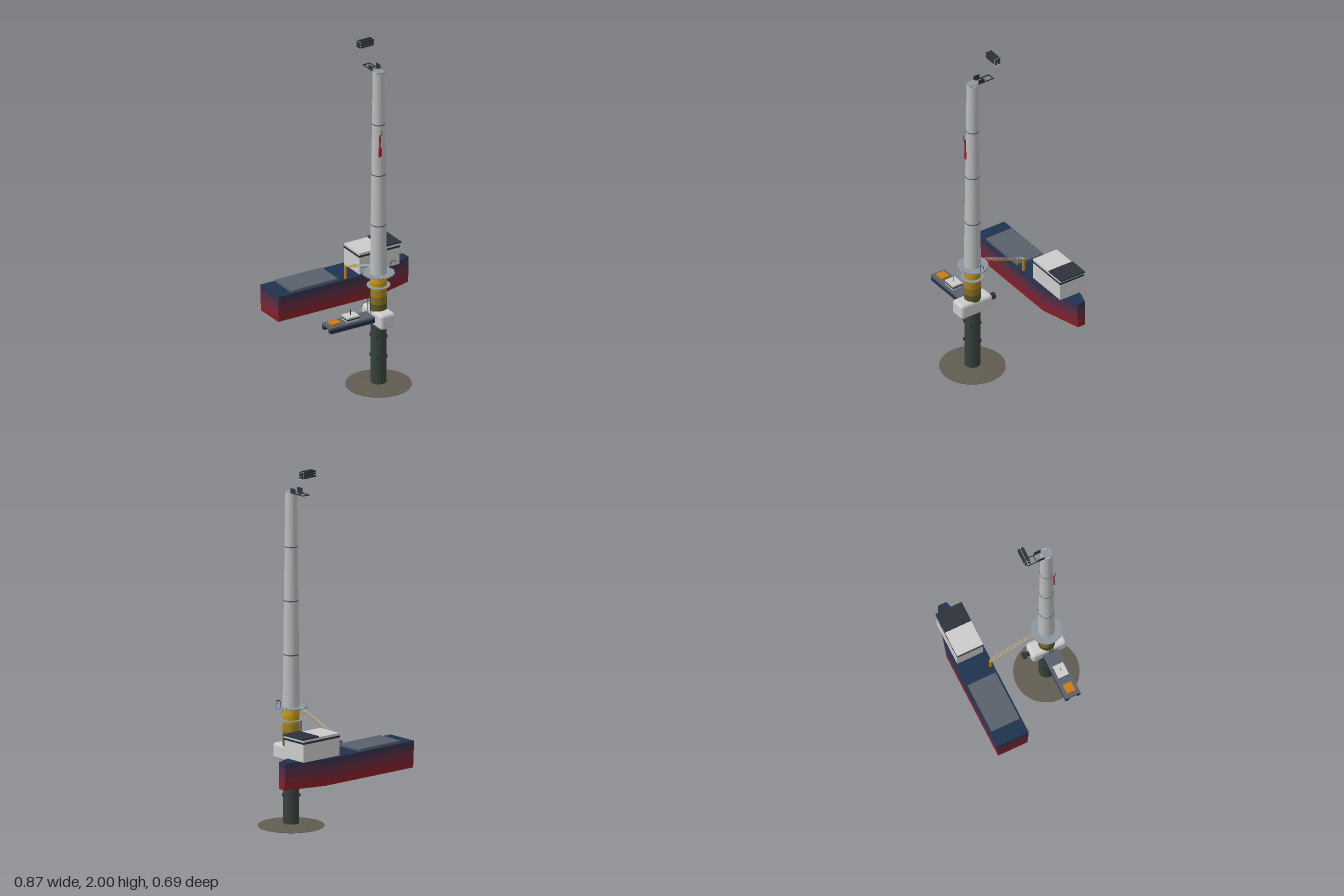
import * as THREE from 'three';
import { RoundedBoxGeometry } from 'three/addons/geometries/RoundedBoxGeometry.js';

const TOWER_Z = 0.164;
const mat = (color, side = THREE.FrontSide) => new THREE.MeshStandardMaterial({ color, side });
const NAVY = mat(0x1f334f), STEEL = mat(0x5a616b), DARK = mat(0x2c323b), WHITE = mat(0xcccccc);
const ORANGE = mat(0xc77c14), GREY = mat(0xb9bcbd), DECK = mat(0x8d969f), RED = mat(0xc01e28);

function add(parent, name, geometry, material, x = 0, y = 0, z = 0) {
  const m = new THREE.Mesh(geometry, material);
  m.name = name;
  m.position.set(x, y, z);
  parent.add(m);
  return m;
}
// Box given by its limits on each axis
function box(parent, name, material, [x0, x1], [y0, y1], [z0, z1]) {
  return add(parent, name, new THREE.BoxGeometry(x1 - x0, y1 - y0, z1 - z0), material,
    (x0 + x1) / 2, (y0 + y1) / 2, (z0 + z1) / 2);
}
// Round bar between two points
function rod(parent, name, material, a, b, r = 0.002) {
  const p = new THREE.Vector3(...a), q = new THREE.Vector3(...b), d = q.clone().sub(p);
  const m = add(parent, name, new THREE.CylinderGeometry(r, r, d.length(), 8), material);
  m.position.copy(p).add(q).multiplyScalar(0.5);
  m.quaternion.setFromUnitVectors(new THREE.Vector3(0, 1, 0), d.normalize());
  return m;
}
function tube(parent, name, material, r0, r1, y0, y1, open = true) {
  return add(parent, name, new THREE.CylinderGeometry(r1, r0, y1 - y0, 40, 1, open), material, 0, (y0 + y1) / 2, 0);
}
function group(parent, name, x = 0, y = 0, z = 0) {
  const g = new THREE.Group();
  g.name = name;
  g.position.set(x, y, z);
  parent.add(g);
  return g;
}

function buildTower(root) {
  const g = group(root, 'tower', 0, 0, TOWER_Z);
  // Seabed mound
  const mound = [[0, 0], [0.18, 0], [0.18, 0.003], [0.05, 0.014], [0, 0.016]];
  add(g, 'seabed', new THREE.LatheGeometry(mound.map(p => new THREE.Vector2(...p)), 48), mat(0x615c50, THREE.DoubleSide));
  // Foundation pile with anodes
  tube(g, 'foundationPile', mat(0x36413c), 0.043, 0.043, 0.005, 0.445);
  for (const y of [0.17, 0.29]) for (let i = 0; i < 4; i++) {
    const a = i * Math.PI / 2 + Math.PI / 4;
    add(g, 'anode', new THREE.BoxGeometry(0.008, 0.018, 0.008), DARK, Math.cos(a) * 0.045, y, Math.sin(a) * 0.045);
  }
  // Transition piece, fading from olive to yellow
  const low = new THREE.Color(0x5c5424), high = new THREE.Color(0xcf9f12);
  for (let i = 0; i < 5; i++) {
    const y = 0.445 + i * 0.043;
    tube(g, 'transitionPiece', mat(low.clone().lerp(high, i / 4)), 0.046, 0.046, y, y + 0.043);
  }
  // Tapered shaft with flanges
  const radius = y => 0.0465 - (y - 0.66) / 1.2 * 0.0145;
  const joints = [0.66, 0.955, 1.255, 1.555, 1.86];
  for (let i = 0; i < 4; i++) {
    tube(g, 'shaftSection', GREY, radius(joints[i]), radius(joints[i + 1]), joints[i], joints[i + 1], i < 3);
    if (i) tube(g, 'flange', STEEL, radius(joints[i]) + 0.001, radius(joints[i]) + 0.001, joints[i] - 0.003, joints[i] + 0.003, false);
  }
  // Work platforms
  for (const [r, y, posts] of [[0.088, 0.66, 24], [0.064, 0.588, 0]]) {
    const s = new THREE.Shape().absarc(0, 0, r, 0, Math.PI * 2);
    s.holes.push(new THREE.Path().absarc(0, 0, 0.045, 0, Math.PI * 2, true));
    const ring = new THREE.ExtrudeGeometry(s, { depth: 0.005, bevelEnabled: false, curveSegments: 24 });
    add(g, 'platform', ring.rotateX(-Math.PI / 2), DECK, 0, y, 0);
    for (let i = 0; i < posts; i++) {
      const a = i / posts * Math.PI * 2, x = Math.cos(a) * (r - 0.002), z = Math.sin(a) * (r - 0.002);
      rod(g, 'platformPost', STEEL, [x, y - 0.004, z], [x, y + 0.01, z], 0.0012);
    }
  }
  // Boat landing ladder
  for (const z of [-0.012, 0.012]) rod(g, 'ladderRail', DARK, [-0.061, 0.44, z], [-0.061, 0.592, z], 0.0018);
  for (let i = 0; i < 10; i++) rod(g, 'ladderRung', DARK, [-0.061, 0.45 + i * 0.014, -0.012], [-0.061, 0.45 + i * 0.014, 0.012], 0.001);
  // Davit crane
  const davit = new THREE.CatmullRomCurve3([[0.076, 0.662, 0], [0.076, 0.697, 0], [0.084, 0.708, 0], [0.106, 0.71, 0], [0.107, 0.695, 0]]
    .map(p => new THREE.Vector3(...p)));
  add(g, 'davit', new THREE.TubeGeometry(davit, 24, 0.0018, 8), DARK);
  // Torn red streamer and its line on the front of the shaft
  rod(g, 'streamerLine', DARK, [-0.012, 1.44, 0.037], [-0.014, 1.53, 0.051], 0.0015);
  const strip = new THREE.Shape([[-0.023, 1.37], [-0.004, 1.375], [-0.005, 1.42], [-0.012, 1.43], [-0.011, 1.48], [-0.017, 1.5], [-0.018, 1.43], [-0.022, 1.41]]
    .map(p => new THREE.Vector2(...p)));
  add(g, 'streamer', new THREE.ExtrudeGeometry(strip, { depth: 0.007, bevelEnabled: false }), RED, 0, 0, 0.034);
  // Tower head: plate, side brackets and outrigger frame
  box(g, 'headPlate', DECK, [-0.024, 0.024], [1.859, 1.865], [-0.026, 0.03]);
  for (const s of [-1, 1]) {
    box(g, 'headBracket', DARK, [s * 0.024 - 0.002, s * 0.024 + 0.002], [1.862, 1.886], [-0.062, -0.024]);
    box(g, 'outriggerRail', DARK, [s * 0.021 - 0.002, s * 0.021 + 0.002], [1.857, 1.862], [-0.125, 0]);
  }
  for (const z of [-0.122, -0.07]) box(g, 'outriggerBar', DARK, [-0.022, 0.022], [1.857, 1.862], [z - 0.002, z + 0.002]);
}

function buildNacelle(root) {
  const g = group(root, 'nacelle', 0, 0.407, 0);
  add(g, 'nacelleHousing', new RoundedBoxGeometry(0.094, 0.09, 0.207, 4, 0.018), mat(0xd8d8d6), 0, 0, 0.163);
  for (const [name, r, z, len] of [['shaft', 0.01, 0.05, 0.03], ['hub', 0.019, 0.03, 0.018], ['hubFlange', 0.014, 0.054, 0.008]])
    add(g, name, new THREE.CylinderGeometry(r, r, len, 24).rotateX(Math.PI / 2), DARK, 0, 0, z);
}

function buildSupplyShip(root) {
  const g = group(root, 'supplyShip', 0, 0, -0.252);
  const plan = k => [[-0.435, -0.096 * k], [0.198, -0.096 * k], [0.434, -0.025 * k], [0.434, 0.025 * k], [0.198, 0.096 * k], [-0.435, 0.096 * k]];
  const Y0 = 0.345, Y1 = 0.495, BANDS = 6, flare = t => 0.92 + 0.08 * t;
  const red = new THREE.Color(0x8c1c1e), navy = new THREE.Color(0x1f334f);
  // Hull sides, fading from red to navy
  for (let i = 0; i < BANDS; i++) {
    const t0 = i / BANDS, t1 = (i + 1) / BANDS, a = plan(flare(t0)), b = plan(flare(t1)), pos = [];
    const y0 = Y0 + t0 * (Y1 - Y0), y1 = Y0 + t1 * (Y1 - Y0);
    a.forEach((p, j) => {
      const k = (j + 1) % a.length;
      const A = [p[0], y0, p[1]], B = [a[k][0], y0, a[k][1]], C = [b[k][0], y1, b[k][1]], D = [b[j][0], y1, b[j][1]];
      pos.push(...A, ...D, ...C, ...A, ...C, ...B);
    });
    const geo = new THREE.BufferGeometry();
    geo.setAttribute('position', new THREE.Float32BufferAttribute(pos, 3));
    geo.computeVertexNormals();
    add(g, 'hullSide', geo, mat(red.clone().lerp(navy, (i + 0.5) / BANDS), THREE.DoubleSide));
  }
  // Deck and hull bottom
  const cap = k => new THREE.ShapeGeometry(new THREE.Shape(plan(k).map(p => new THREE.Vector2(...p))));
  add(g, 'deck', cap(1).rotateX(-Math.PI / 2), NAVY, 0, Y1, 0);
  add(g, 'hullBottom', cap(0.92).rotateX(Math.PI / 2), mat(0x8c1c1e), 0, Y0, 0);
  box(g, 'cargoDeck', STEEL, [-0.347, -0.052], [0.495, 0.508], [-0.084, 0.084]);
  // Deckhouse with window band and bridge roof
  box(g, 'deckhouse', WHITE, [0.088, 0.345], [0.495, 0.62], [-0.078, 0.078]);
  box(g, 'windowBand', DARK, [0.086, 0.347], [0.595, 0.606], [-0.079, 0.079]);
  box(g, 'bridgeRoof', DARK, [0.237, 0.355], [0.619, 0.627], [-0.079, 0.079]);
  // Gangway pedestal
  tube(g, 'gangwayPedestal', ORANGE, 0.009, 0.009, 0.495, 0.57, false).position.z = 0.079;
}

function buildGangway(root) {
  const g = group(root, 'gangway');
  const at = (t, x, up) => [x, 0.565 + t * 0.097 + up, -0.172 + t * 0.25];
  const N = 12;
  for (const x of [-0.006, 0.006]) {
    for (const up of [0, 0.011]) rod(g, 'gangwayRail', up ? WHITE : ORANGE, at(0, x, up), at(1, x, up), 0.0012);
    for (let i = 0; i <= N; i++) rod(g, 'gangwayPost', WHITE, at(i / N, x, 0), at(i / N, x, 0.011), 0.0008);
  }
  for (let i = 0; i <= N; i++) rod(g, 'gangwayRung', WHITE, at(i / N, -0.006, 0), at(i / N, 0.006, 0), 0.0008);
}

function buildCrewBoat(root) {
  const g = group(root, 'crewBoat', 0, 0, 0.163);
  box(g, 'boatDeck', STEEL, [-0.331, -0.05], [0.414, 0.427], [-0.045, 0.045]);
  for (const s of [-1, 1]) box(g, 'boatHull', NAVY, [-0.331, -0.05], [0.392, 0.415], [s * 0.034 - 0.011, s * 0.034 + 0.011]);
  box(g, 'cargoBox', ORANGE, [-0.31, -0.253], [0.427, 0.437], [-0.025, 0.025]);
  box(g, 'cabin', WHITE, [-0.216, -0.14], [0.427, 0.453], [-0.031, 0.031]);
  box(g, 'cabinWindows', DARK, [-0.217, -0.139], [0.436, 0.443], [-0.032, 0.032]);
  rod(g, 'mast', DARK, [-0.178, 0.453, 0], [-0.178, 0.485, 0], 0.0015);
}

function buildRack(root) {
  // Slatted rack hanging above the tower
  const g = group(root, 'hangingRack', 0, 1.978, 0.029);
  for (const s of [-1, 1]) {
    const x = s * 0.045, c = [[-0.018, -0.022], [0.018, -0.022], [0.018, 0.021], [-0.018, 0.021]];
    c.forEach((p, i) => {
      const q = c[(i + 1) % 4];
      rod(g, 'rackFrame', GREY, [x, p[1], p[0]], [x, q[1], q[0]], 0.0013);
    });
  }
  for (const y of [-0.012, 0.003, 0.017]) for (const z of [-0.011, 0.011])
    box(g, 'rackBar', DARK, [-0.047, 0.047], [y - 0.004, y + 0.004], [z - 0.006, z + 0.006]);
}

export function createModel() {
  const root = new THREE.Group();
  root.name = 'offshoreTowerSite';
  [buildTower, buildNacelle, buildSupplyShip, buildGangway, buildCrewBoat, buildRack].forEach(build => build(root));
  return root;
}
